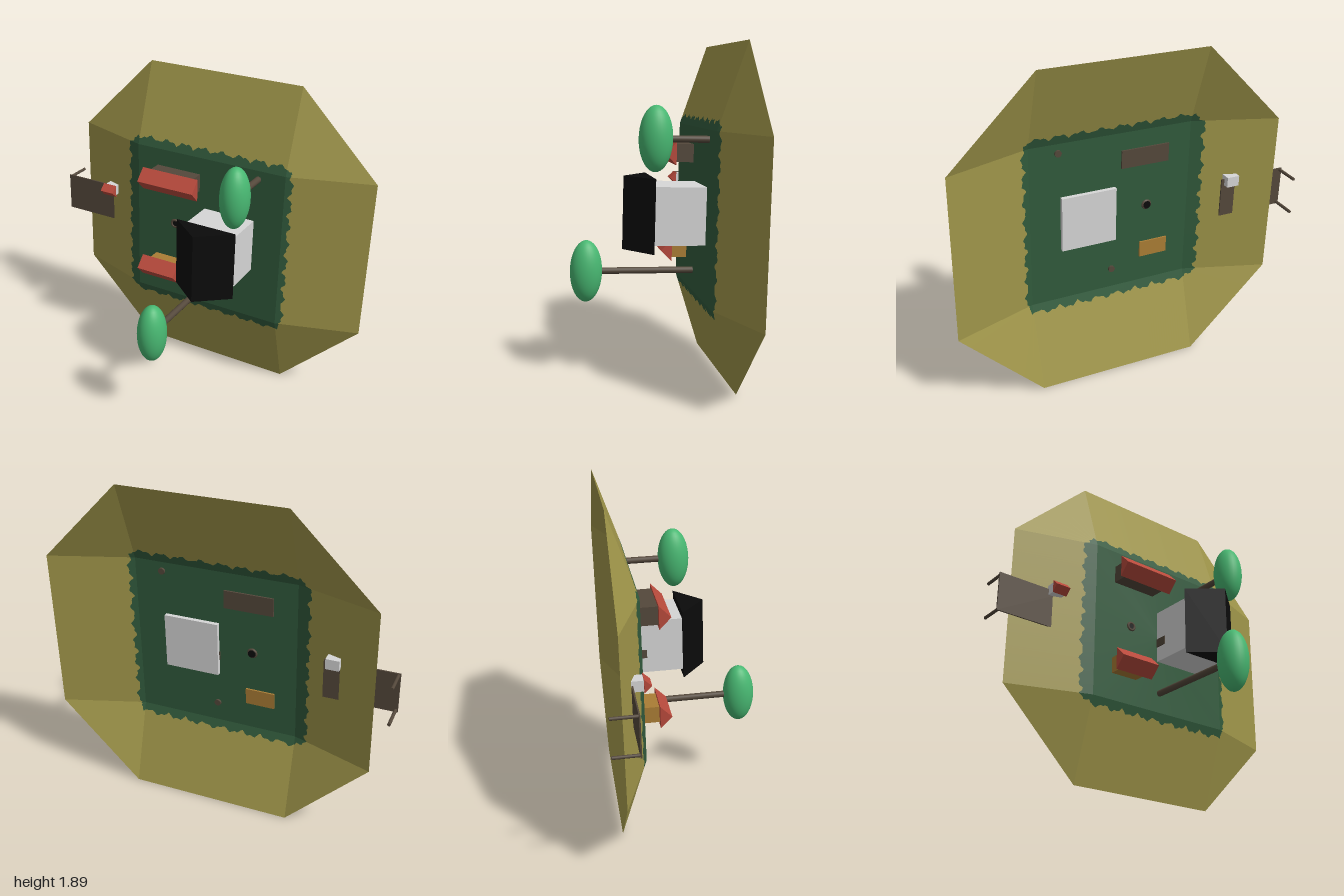
import * as THREE from 'three';

const mat = (name, color, side = THREE.FrontSide) => {
  const m = new THREE.MeshStandardMaterial({ color, side });
  m.name = name;
  return m;
};

export function createModel() {
  const sand = mat('sand', 0xa0964a, THREE.DoubleSide);
  const grass = mat('grass', 0x315a3c, THREE.DoubleSide);
  const leaves = mat('leaves', 0x48b872);
  const wood = mat('wood', 0x54483b);
  const red = mat('red roof', 0xb84a3c);
  const ochre = mat('ochre wall', 0xaa7d35);
  const grey = mat('pale wall', 0xd6d6d6);
  const black = mat('black roof', 0x0b0b0b);

  // The island faces +z with a very slight backward lean; local z is height above the lawn
  const model = new THREE.Group();
  const island = new THREE.Group();
  island.name = 'island';
  island.position.set(0, 0.949, -0.25);
  island.rotation.x = -0.024;
  model.add(island);

  const add = (name, geometry, material, x, y, z, parent = island) => {
    const m = new THREE.Mesh(geometry, material);
    m.name = name;
    m.position.set(x, y, z);
    parent.add(m);
    return m;
  };
  const surface = (points) => {
    const g = new THREE.BufferGeometry().setFromPoints(points);
    g.computeVertexNormals();
    return g;
  };

  // Terrain rays: flat square edge outward to the octagonal shore, split at a scalloped line
  const CX = 0.055, HALF = 0.475, SPREAD = 0.47, DROP = 0.155;
  const corners = [[1, -1], [1, 1], [-1, 1], [-1, -1]];
  const normals = [[1, 0], [0, 1], [-1, 0], [0, -1]];
  const reach = [0.04, 0.07, 0.12, 0.07];
  const rays = [];
  const ray = (cx, cy, nx, ny, base) => {
    const i = rays.length;
    const f = base + 0.05 * Math.abs(Math.sin(i * 0.42)) + 0.015 * Math.sin(i * 1.9);
    const at = (t) => new THREE.Vector3(
      CX + cx * HALF + nx * SPREAD * t, cy * HALF + ny * SPREAD * t, -DROP * t);
    rays.push({ inner: at(0), edge: at(f), shore: at(1) });
  };
  for (let k = 0; k < 4; k++) {
    const a = corners[k], b = corners[(k + 1) % 4];
    const n = normals[k], m = normals[(k + 1) % 4];
    const r = reach[k], q = reach[(k + 1) % 4];
    for (let i = 0; i <= 60; i++) {
      const t = i / 60;
      ray(a[0] + (b[0] - a[0]) * t, a[1] + (b[1] - a[1]) * t, n[0], n[1], r);
    }
    for (let i = 1; i < 8; i++) {
      const t = i / 8;
      ray(b[0], b[1], n[0] + (m[0] - n[0]) * t, n[1] + (m[1] - n[1]) * t, r + (q - r) * t);
    }
  }
  const lawn = [], beach = [];
  const centre = new THREE.Vector3(CX, 0, 0);
  rays.forEach((p, i) => {
    const q = rays[(i + 1) % rays.length];
    if (p.inner.distanceTo(q.inner) > 1e-6) lawn.push(centre, p.inner, q.inner);
    lawn.push(p.inner, p.edge, q.edge);
    if (p.inner.distanceTo(q.inner) > 1e-6) lawn.push(p.inner, q.edge, q.inner);
    beach.push(p.edge, p.shore, q.shore, p.edge, q.shore, q.edge);
  });
  add('lawn', surface(lawn), grass, 0, 0, 0);
  add('beach', surface(beach), sand, 0, 0, 0);

  // Gable roof: ridge runs along y, or along x when sideways
  const roof = (width, height, length, sideways) => {
    const s = new THREE.Shape();
    s.moveTo(-width / 2, 0);
    s.lineTo(width / 2, 0);
    s.lineTo(0, height);
    s.closePath();
    const g = new THREE.ExtrudeGeometry(s, { depth: length, bevelEnabled: false });
    g.translate(0, 0, -length / 2).rotateX(Math.PI / 2);
    if (sideways) g.rotateZ(Math.PI / 2);
    return g;
  };
  const house = (name, wall, wallMat, top, roofMat) => {
    const g = new THREE.Group();
    g.name = name;
    island.add(g);
    const { x, y, w, d, low, high } = wall;
    add('walls', new THREE.BoxGeometry(w, d, high - low), wallMat, x, y, (low + high) / 2, g);
    add('roof', roof(top.width, top.height, top.length, top.sideways), roofMat,
      top.x, y, high, g);
    return g;
  };

  const large = house('largeHouse',
    { x: 0.195, y: 0.003, w: 0.32, d: 0.32, low: -0.025, high: 0.285 },
    grey, { x: 0.195, width: 0.37, height: 0.15, length: 0.41 }, black);
  add('door', new THREE.BoxGeometry(0.008, 0.05, 0.08), wood, 0.033, -0.04, 0.035, large);
  house('longHouse',
    { x: -0.143, y: 0.32, w: 0.285, d: 0.105, low: -0.01, high: 0.108 },
    wood, { x: -0.14, width: 0.135, height: 0.066, length: 0.365, sideways: true }, red);
  house('shortHouse',
    { x: -0.21, y: -0.267, w: 0.17, d: 0.095, low: -0.01, high: 0.096 },
    ochre, { x: -0.21, width: 0.132, height: 0.066, length: 0.25, sideways: true }, red);
  house('dockHut',
    { x: -0.65, y: 0.113, w: 0.075, d: 0.06, low: -0.12, high: -0.024 },
    grey, { x: -0.65, width: 0.075, height: 0.04, length: 0.09, sideways: true }, red);

  // Upright post along local z
  const post = (name, x, y, low, high, radius, material = wood, parent = island) => {
    const g = new THREE.CylinderGeometry(radius, radius, high - low, 16).rotateX(Math.PI / 2);
    return add(name, g, material, x, y, (low + high) / 2, parent);
  };

  // Trees with long trunks and oval crowns
  [[0.05, -0.355, 0.62], [0.367, 0.423, 0.29]].forEach(([x, y, h]) => {
    const tree = new THREE.Group();
    tree.name = 'tree';
    island.add(tree);
    post('trunk', x, y, -0.012, h, 0.019, wood, tree);
    add('crown', new THREE.SphereGeometry(1, 32, 20), leaves, x, y, h, tree)
      .scale.set(0.083, 0.178, 0.092);
  });

  // Small well in the lawn
  post('wellShaft', -0.162, 0.015, -0.012, 0.004, 0.022, black);
  add('wellRim', new THREE.TorusGeometry(0.022, 0.008, 8, 24), wood, -0.162, 0.015, 0);

  // Dock with two mooring posts
  add('dock', new THREE.BoxGeometry(0.405, 0.23, 0.008), wood, -0.7975, 0.005, -0.083);
  for (const y of [-0.1, 0.11]) post('dockPost', -0.988, y, -0.225, -0.08, 0.009);

  return model;
}
